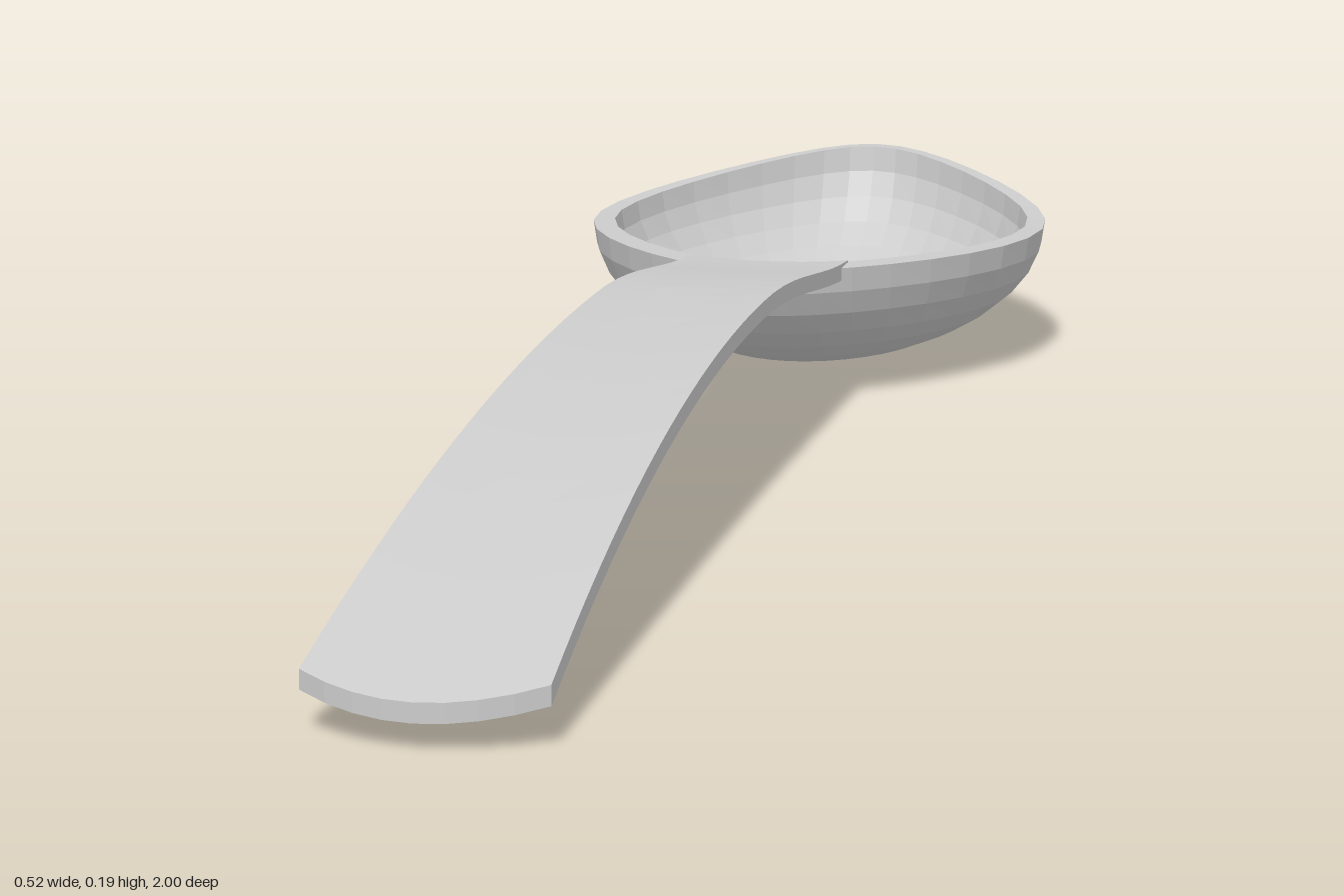
import * as THREE from 'three';

const material = new THREE.MeshStandardMaterial({ color: 0xcccccc, flatShading: true, side: THREE.DoubleSide });

// Moves every vertex of a geometry by a rule
function deform(geometry, rule) {
  const pos = geometry.attributes.position;
  const v = new THREE.Vector3();
  for (let i = 0; i < pos.count; i++) {
    rule(v.fromBufferAttribute(pos, i));
    pos.setXYZ(i, v.x, v.y, v.z);
  }
  geometry.computeVertexNormals();
  return geometry;
}

// Egg-shaped bowl: a lathed shell, stretched, tapered to both ends, with a raised tip
function makeBowl() {
  const rings = 9, inner = 0.915, floor = 0.02;
  const profile = [];
  for (let i = 0; i <= rings; i++) {
    const t = (i / rings) * Math.PI / 2;
    profile.push(new THREE.Vector2(Math.sin(t), 1 - Math.cos(t)));
  }
  // the inside is marked with heights above 2 so that the rule can tell it apart
  for (let i = rings; i >= 0; i--) profile.push(new THREE.Vector2(profile[i].x, profile[i].y + 3));

  const geometry = deform(new THREE.LatheGeometry(profile, 36), v => {
    const inside = v.y > 2;
    const h = inside ? v.y - 3 : v.y;
    const u = v.z;
    const rimY = 0.15 + (u < 0 ? 0.032 : 0.006) * u * u;
    const scale = inside ? inner : 1;
    v.x *= 0.258 * scale * (1 - 0.33 * u * u);
    v.z = -0.653 + u * 0.347 * scale - (inside ? 0.01 : 0);
    v.y = inside ? floor + h * (rimY - floor) : h * rimY;
  });
  const bowl = new THREE.Mesh(geometry, material);
  bowl.name = 'bowl';
  return bowl;
}

// Height of the top of the handle along its length
function handleTop(z) {
  const d = z - 0.03;
  return d > 0 ? 0.195 - 0.162 * d * d
    : 0.195 - 0.02 * (1 - Math.cos(Math.PI * Math.min(-d / 0.47, 1)));
}

// Arched handle: a thin strip that flares to a rounded end
function makeHandle() {
  const thickness = 0.018;
  const geometry = deform(new THREE.BoxGeometry(2, 1, 1, 8, 1, 28), v => {
    const u = v.x;
    const z = THREE.MathUtils.lerp(-0.345, 1, v.z + 0.5);
    const flare = Math.max(0, z - 0.1) / 0.9;
    v.x = u * (0.087 + 0.021 * flare ** 1.6);
    v.z = z - 0.037 * u * u;
    v.y = handleTop(v.z) + (v.y - 0.5) * thickness;
  });
  const handle = new THREE.Mesh(geometry, material);
  handle.name = 'handle';
  return handle;
}

export function createModel() {
  const spoon = new THREE.Group();
  spoon.name = 'spoon';
  spoon.add(makeBowl(), makeHandle());
  return spoon;
}
